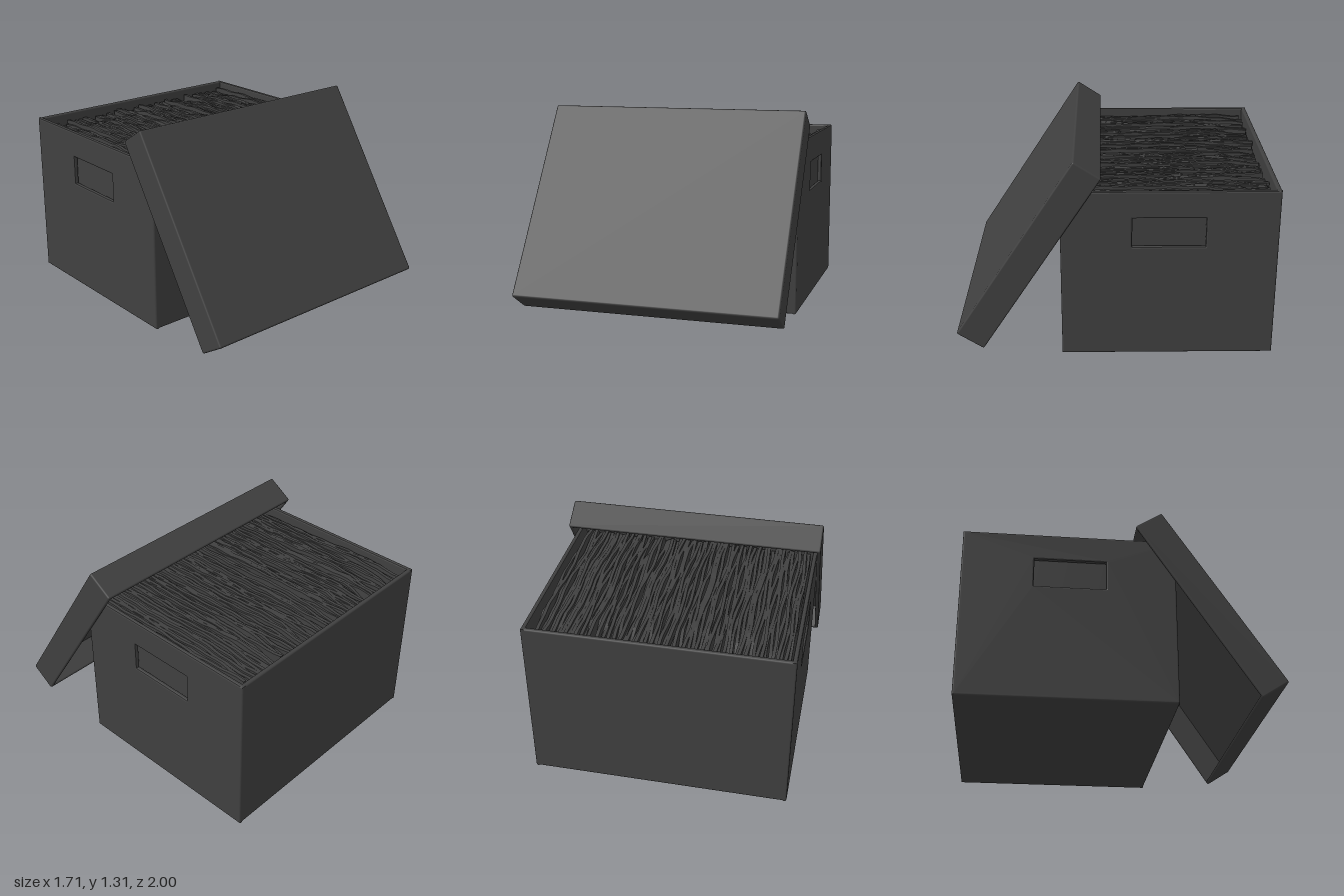
import * as THREE from 'three';
import { mergeGeometries } from 'three/addons/utils/BufferGeometryUtils.js';
import { RoundedBoxGeometry } from 'three/addons/geometries/RoundedBoxGeometry.js';

const W = 0.83, H = 1.11, Z0 = -1, Z1 = 0.335, T = 0.03; // carton half width, height, back, front, wall
const card = new THREE.MeshStandardMaterial({ color: 0x404040 });
const sheet = new THREE.MeshStandardMaterial({ color: 0x404040 });
sheet.flatShading = true;

let seed = 7;
function rand() {
  seed = (seed * 16807) % 2147483647;
  return seed / 2147483647;
}

function addMesh(parent, name, geometry, material = card) {
  const mesh = new THREE.Mesh(geometry, material);
  mesh.name = name;
  parent.add(mesh);
  return mesh;
}

// softly rounded cardboard panel
function panel(parent, name, w, h, d, x, y, z) {
  addMesh(parent, name, new RoundedBoxGeometry(w, h, d, 2, 0.011)).position.set(x, y, z);
}

function roundedRect(path, x0, y0, x1, y1, r) {
  path.moveTo(x0 + r, y0);
  path.lineTo(x1 - r, y0);
  path.quadraticCurveTo(x1, y0, x1, y0 + r);
  path.lineTo(x1, y1 - r);
  path.quadraticCurveTo(x1, y1, x1 - r, y1);
  path.lineTo(x0 + r, y1);
  path.quadraticCurveTo(x0, y1, x0, y1 - r);
  path.lineTo(x0, y0 + r);
  path.quadraticCurveTo(x0, y0, x0 + r, y0);
  return path;
}

// side wall with a bevelled handle opening; shape x runs along -z
function sideWall() {
  const b = 0.011;
  const shape = new THREE.Shape();
  shape.moveTo(-Z1 + b, b);
  shape.lineTo(-Z0 - b, b);
  shape.lineTo(-Z0 - b, H - b);
  shape.lineTo(-Z1 + b, H - b);
  shape.closePath();
  shape.holes.push(roundedRect(new THREE.Path(), 0.093, 0.735, 0.563, 0.945, 0.012));
  const g = new THREE.ExtrudeGeometry(shape, {
    depth: T - 2 * b, bevelEnabled: true, bevelSize: b, bevelThickness: b, bevelSegments: 2, curveSegments: 4,
  });
  g.translate(0, 0, b - T / 2);
  return g.rotateY(Math.PI / 2);
}

function makeCarton() {
  const carton = new THREE.Group();
  carton.name = 'carton';
  const zc = (Z0 + Z1) / 2, depth = Z1 - Z0;
  panel(carton, 'bottom', 2 * W, T, depth, 0, T / 2, zc);
  panel(carton, 'frontWall', 2 * W, H, T, 0, H / 2, Z1 - T / 2);
  panel(carton, 'backWall', 2 * W, H, T, 0, H / 2, Z0 + T / 2);
  for (const s of [-1, 1]) {
    addMesh(carton, s > 0 ? 'leftWall' : 'rightWall', sideWall()).position.x = s * (W - T / 2);
  }
  return carton;
}

// upright sheets packed side by side, with ragged and wavy top edges
function makePapers() {
  const count = 76, half = 0.785, step = (2 * half) / count, parts = [];
  for (let i = 0; i < count; i++) {
    const back = Z0 + T + 0.005 + rand() * 0.025, front = Z1 - T - 0.005 - rand() * 0.02;
    const g = new THREE.BoxGeometry(step * 1.02, 1, front - back, 1, 4, 22);
    const p = g.attributes.position;
    const top = 1.05 + rand() * 0.025, tilt = (rand() - 0.5) * 0.02;
    const phase = rand() * 6.28, freq = 3 + rand() * 5;
    const backDip = rand() < 0.35 ? 0.04 + rand() * 0.04 : 0.01;
    for (let k = 0; k < p.count; k++) {
      const isTop = p.getY(k) > 0.49;
      const z = p.getZ(k) + (back + front) / 2;
      const fromBack = Math.max(0, 1 - (z - back) / 0.22);
      const wave = Math.sin(z * freq + phase);
      const y = isTop
        ? top + tilt * z + 0.008 * wave + 0.004 * Math.sin(z * 31 + phase * 5) - backDip * fromBack
        : 0.035 + (p.getY(k) + 0.5) * 1.22;
      const x = (i + 0.5) * step - half + p.getX(k) + (isTop ? 0.008 * Math.sin(z * 9 + phase) : 0);
      p.setXYZ(k, THREE.MathUtils.clamp(x, -half, half), y, z);
    }
    parts.push(g);
  }
  return mergeGeometries(parts);
}

// open tray lid leaning on the front of the carton
function makeLid() {
  const lid = new THREE.Group();
  lid.name = 'lid';
  const w = 0.855, d = 1.373, h = 0.2, t = 0.025;
  panel(lid, 'lidTop', 2 * w, t, d, 0, h / 2 - t / 2, 0);
  for (const s of [-1, 1]) {
    panel(lid, s > 0 ? 'lidLowerRim' : 'lidUpperRim', 2 * w, h, t, 0, 0, s * (d - t) / 2);
    panel(lid, s > 0 ? 'lidLeftRim' : 'lidRightRim', t, h, d, s * (w - t / 2), 0, 0);
  }
  lid.rotation.x = 0.993;
  lid.position.set(0, 0.68, 0.541);
  return lid;
}

export function createModel() {
  const model = new THREE.Group();
  model.name = 'documentBox';
  model.add(makeCarton(), makeLid());
  addMesh(model, 'papers', makePapers(), sheet);
  return model;
}
